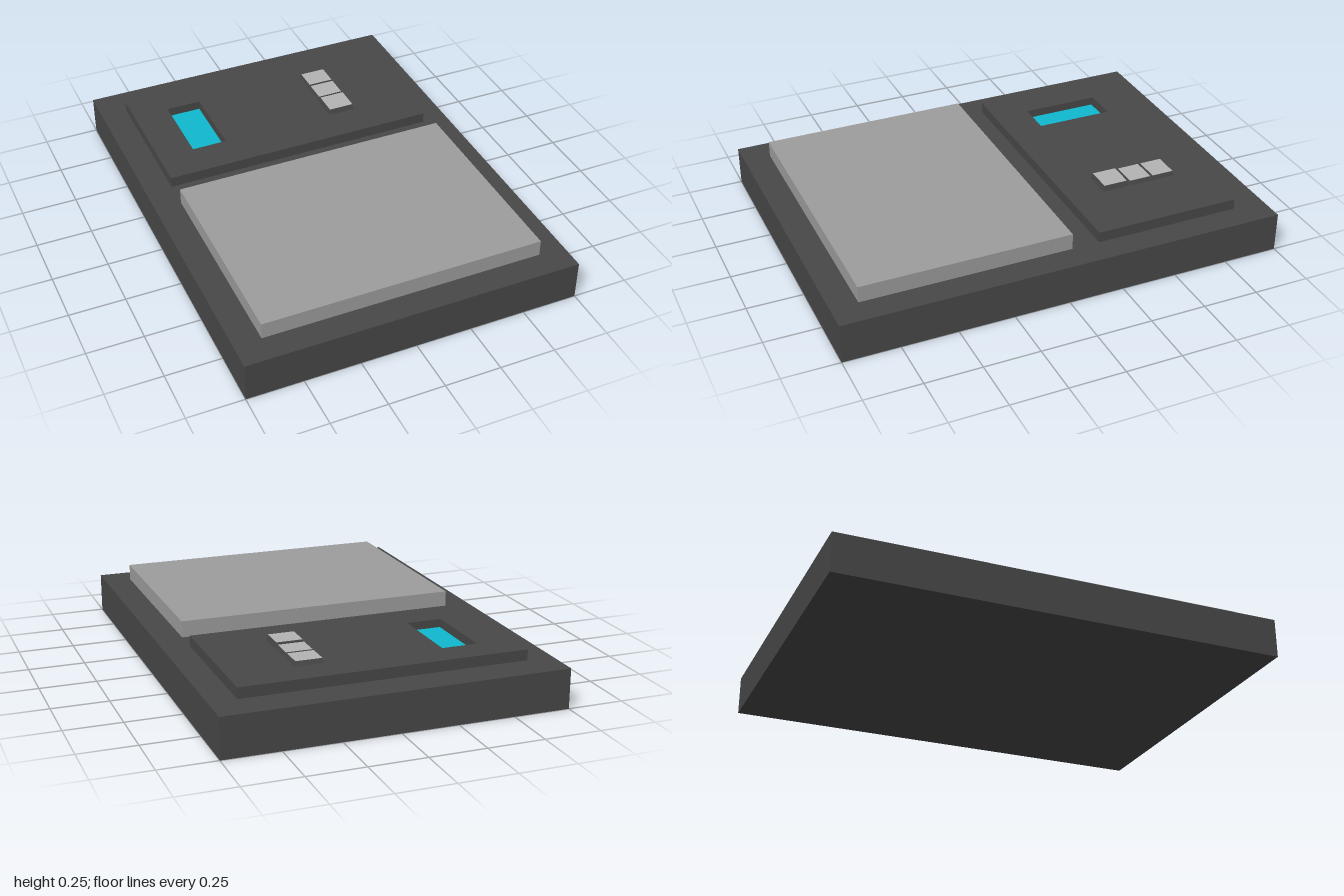
import * as THREE from 'three';

const dark = new THREE.MeshStandardMaterial({ color: 0x484848 });
const plate = new THREE.MeshStandardMaterial({ color: 0x9d9d9d });
const light = new THREE.MeshStandardMaterial({ color: 0xb4b4b4 });
const cyan = new THREE.MeshStandardMaterial({ color: 0x10b8cf });

const BASE_TOP = 0.177;
const PANEL_TOP = 0.225;

// Box given by its limits on each axis
function block(name, material, [x0, x1], [y0, y1], [z0, z1]) {
  const mesh = new THREE.Mesh(new THREE.BoxGeometry(x1 - x0, y1 - y0, z1 - z0), material);
  mesh.position.set((x0 + x1) / 2, (y0 + y1) / 2, (z0 + z1) / 2);
  mesh.name = name;
  return mesh;
}

// Rectangle on the ground plane (shape y is -z)
function rectangle(Type, [x0, x1], [z0, z1]) {
  return new Type([[x0, -z1], [x1, -z1], [x1, -z0], [x0, -z0]].map(([x, y]) => new THREE.Vector2(x, y)));
}

// Key with sloping dark sides and a light top face
function key([x0, x1], [z0, z1], top) {
  const group = new THREE.Group();
  group.name = 'button';
  const inset = 0.006, h = top - PANEL_TOP, w = x1 - x0, d = z1 - z0;
  const geo = new THREE.BoxGeometry(w, h, d);
  const p = geo.attributes.position;
  for (let i = 0; i < p.count; i++) {
    if (p.getY(i) > 0) {
      p.setX(i, p.getX(i) * (1 - 2 * inset / w));
      p.setZ(i, p.getZ(i) * (1 - 2 * inset / d));
    }
  }
  geo.computeVertexNormals();
  const body = new THREE.Mesh(geo, dark);
  body.name = 'buttonBody';
  const cap = new THREE.Mesh(new THREE.PlaneGeometry(w - 2 * inset, d - 2 * inset).rotateX(-Math.PI / 2), light);
  cap.position.y = h / 2 + 0.001;
  cap.name = 'buttonTop';
  group.add(body, cap);
  group.position.set((x0 + x1) / 2, PANEL_TOP + h / 2, (z0 + z1) / 2);
  return group;
}

export function createModel() {
  const model = new THREE.Group();
  model.name = 'scale';

  // Housing and weighing plate
  model.add(block('base', dark, [-0.75, 0.75], [0, BASE_TOP], [-1, 1]));
  model.add(block('weighingPlate', plate, [-0.63, 0.63], [BASE_TOP, 0.25], [-0.065, 0.88]));

  // Raised control panel with a window for the display
  const outline = rectangle(THREE.Shape, [-0.63, 0.63], [-0.85, -0.19]);
  outline.holes.push(rectangle(THREE.Path, [-0.465, -0.305], [-0.712, -0.358]));
  const panelGeo = new THREE.ExtrudeGeometry(outline, { depth: PANEL_TOP - BASE_TOP, bevelEnabled: false });
  panelGeo.rotateX(-Math.PI / 2);
  const panel = new THREE.Mesh(panelGeo, dark);
  panel.position.y = BASE_TOP;
  panel.name = 'controlPanel';
  model.add(panel);

  // Sunken display
  model.add(block('display', cyan, [-0.46, -0.31], [BASE_TOP, 0.19], [-0.704, -0.363]));

  // Row of three buttons, the front one slightly taller
  const buttons = new THREE.Group();
  buttons.name = 'buttons';
  [[-0.71, -0.597, 0.245], [-0.597, -0.484, 0.245], [-0.48, -0.357, 0.25]].forEach(([z0, z1, top]) =>
    buttons.add(key([0.217, 0.345], [z0, z1], top)));
  model.add(buttons);

  return model;
}
